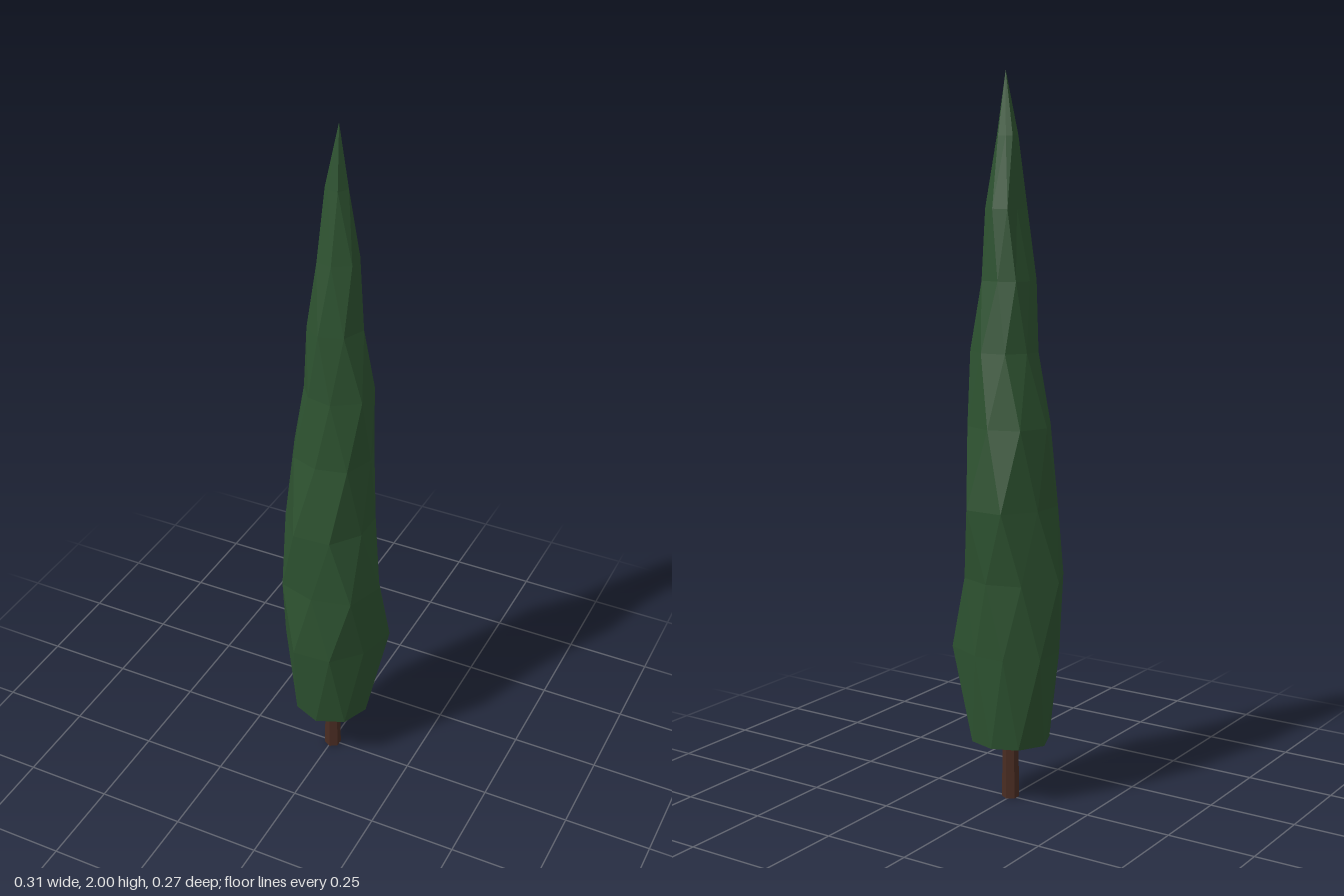
import * as THREE from 'three';

const SIDES = 8;
// Foliage rings: height, then radii counted from +x towards +z; every second ring is turned half a step
const RINGS = [
  [0.17, 0.11, 0.11, 0.11, 0.11, 0.11, 0.10, 0.10, 0.11],
  [0.43, 0.135, 0.14, 0.147, 0.135, 0.14, 0.12, 0.12, 0.166],
  [0.64, 0.147, 0.155, 0.135, 0.148, 0.155, 0.135, 0.125, 0.13],
  [0.84, 0.12, 0.135, 0.142, 0.13, 0.127, 0.147, 0.145, 0.12],
  [1.06, 0.115, 0.12, 0.105, 0.11, 0.115, 0.12, 0.115, 0.12],
  [1.26, 0.117, 0.10, 0.085, 0.075, 0.075, 0.085, 0.097, 0.112],
  [1.45, 0.09, 0.09, 0.085, 0.07, 0.06, 0.065, 0.065, 0.08],
  [1.64, 0.075, 0.06, 0.053, 0.028, 0.028, 0.05, 0.06, 0.07],
  [1.83, 0.045, 0.04, 0.025, 0.02, 0.015, 0.022, 0.025, 0.035],
];

function foliageGeometry() {
  const rings = RINGS.map(([y, ...radii], i) => radii.map((r, k) => {
    const a = (k + (i % 2) / 2) * Math.PI * 2 / SIDES;
    return [Math.cos(a) * r, y, Math.sin(a) * r];
  }));
  const base = [0, RINGS[0][0], 0], apex = [0.02, 2, 0.005];
  const top = rings[rings.length - 1];
  const points = [];
  const tri = (...corners) => corners.forEach((c) => points.push(...c));

  for (let k = 0; k < SIDES; k++) {
    const n = (k + 1) % SIDES;
    // Diamond facets between neighbouring rings
    for (let i = 0; i < rings.length - 1; i++) {
      const lo = rings[i], up = rings[i + 1];
      if (i % 2 === 0) {
        tri(lo[k], up[k], lo[n]);
        tri(lo[n], up[k], up[n]);
      } else {
        tri(lo[k], up[n], lo[n]);
        tri(lo[k], up[k], up[n]);
      }
    }
    // Flat underside and pointed tip
    tri(base, rings[0][k], rings[0][n]);
    tri(top[k], apex, top[n]);
  }
  const geometry = new THREE.BufferGeometry();
  geometry.setAttribute('position', new THREE.Float32BufferAttribute(points, 3));
  geometry.computeVertexNormals();
  return geometry;
}

export function createModel() {
  const green = new THREE.MeshStandardMaterial({ color: 0x2d5230, flatShading: true });
  green.name = 'foliage green';
  const brown = new THREE.MeshStandardMaterial({ color: 0x4a2c22, flatShading: true });
  brown.name = 'bark brown';

  const tree = new THREE.Group();
  tree.name = 'cypressTree';

  const foliage = new THREE.Mesh(foliageGeometry(), green);
  foliage.name = 'foliage';

  // Short six-sided trunk, running a little way into the foliage
  const trunk = new THREE.Mesh(new THREE.CylinderGeometry(0.022, 0.024, 0.2, 6), brown);
  trunk.name = 'trunk';
  trunk.position.set(0.003, 0.1, 0.002);

  tree.add(foliage, trunk);
  return tree;
}
